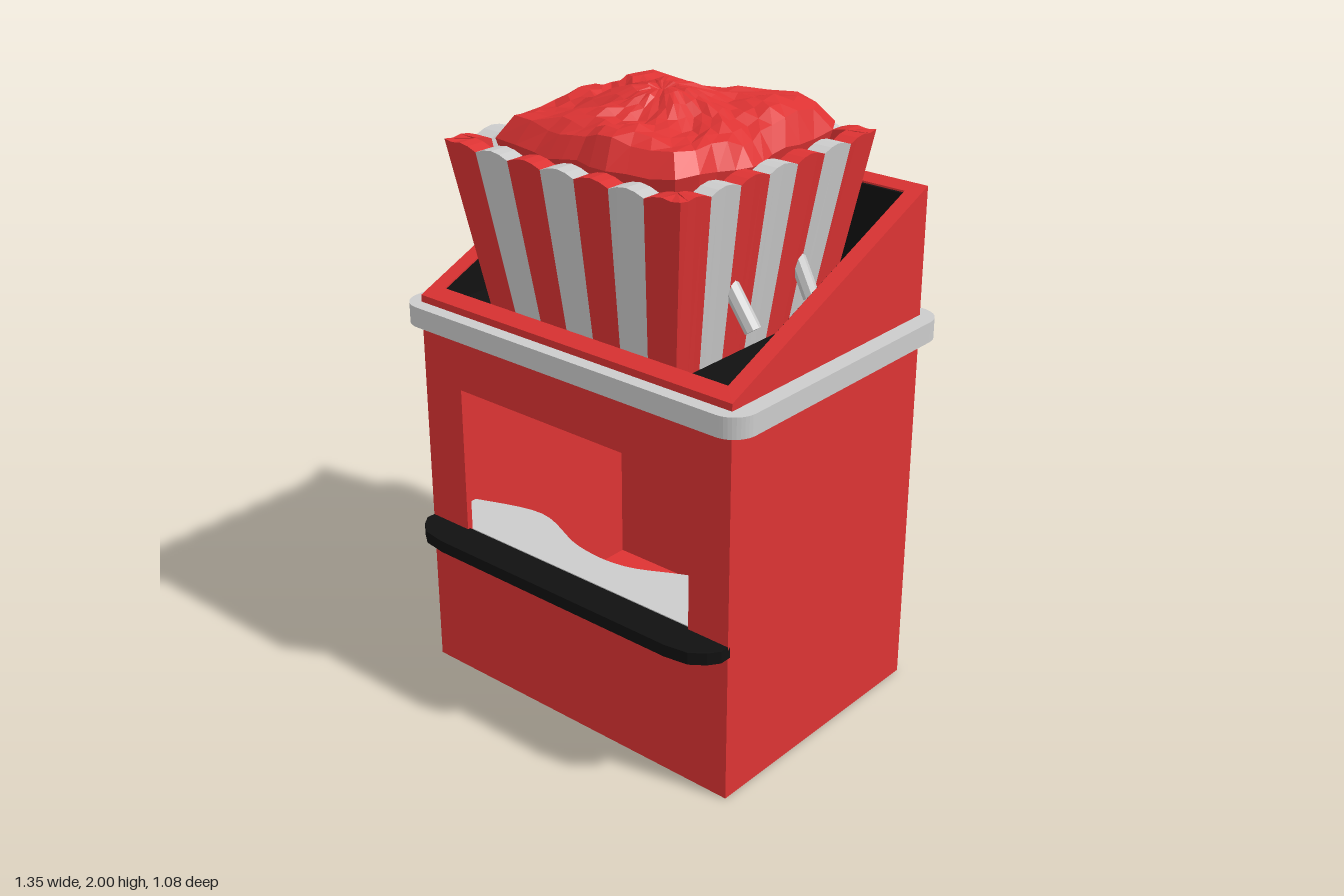
import * as THREE from 'three';

const mat = (color) => new THREE.MeshStandardMaterial({ color, flatShading: true, side: THREE.DoubleSide });
const RED = mat(0xdd3333), BLACK = mat(0x111111), GREY = mat(0xcccccc);

function add(parent, name, geometry, material) {
  const mesh = new THREE.Mesh(geometry, material);
  mesh.name = name;
  parent.add(mesh);
  return mesh;
}

// Box given by its lower and upper limits
function block(parent, name, material, x0, x1, y0, y1, z0, z1) {
  const g = new THREE.BoxGeometry(x1 - x0, y1 - y0, z1 - z0);
  g.translate((x0 + x1) / 2, (y0 + y1) / 2, (z0 + z1) / 2);
  return add(parent, name, g, material);
}

function rect(x0, x1, y0, y1, r = 0) {
  const s = new THREE.Shape();
  if (!r) {
    s.moveTo(x0, y0).lineTo(x1, y0).lineTo(x1, y1).lineTo(x0, y1).closePath();
  } else {
    s.absarc(x1 - r, y0 + r, r, -Math.PI / 2, 0);
    s.absarc(x1 - r, y1 - r, r, 0, Math.PI / 2);
    s.absarc(x0 + r, y1 - r, r, Math.PI / 2, Math.PI);
    s.absarc(x0 + r, y0 + r, r, Math.PI, Math.PI * 1.5);
    s.closePath();
  }
  return s;
}

const extrude = (shape, depth, holes = []) => {
  shape.holes.push(...holes);
  return new THREE.ExtrudeGeometry(shape, { depth, bevelEnabled: false, curveSegments: 5 });
};

// Plan shape (x, -z) raised from y0 to y1
const slab = (shape, y0, y1, holes) =>
  extrude(shape, y1 - y0, holes).rotateX(-Math.PI / 2).translate(0, y0, 0);

// Frame whose top follows the slanted roof line
function slantedFrame(outer, inner, drop) {
  const g = slab(outer, 1.25, 1.5, [inner]);
  const p = g.attributes.position;
  for (let i = 0; i < p.count; i++) {
    if (p.getY(i) > 1.4) p.setY(i, 1.31 + (0.43 - p.getZ(i)) * 0.424 - drop);
  }
  g.computeVertexNormals();
  return g;
}

function fromTriangles(list) {
  const g = new THREE.BufferGeometry();
  g.setAttribute('position', new THREE.Float32BufferAttribute(list.flat(), 3));
  g.computeVertexNormals();
  return g;
}
const quad = (list, a, b, c, d) => list.push(a, b, c, a, c, d);

function makeBooth() {
  const booth = new THREE.Group();
  booth.name = 'booth';
  // Hollow walls with a serving window
  const front = extrude(rect(-0.62, 0.62, 0, 1.25), 0.02, [rect(-0.46, 0.47, 0.52, 1.03)]);
  add(booth, 'frontWall', front.translate(0, 0, 0.41), RED);
  block(booth, 'backWall', RED, -0.62, 0.62, 0, 1.25, -0.49, -0.47);
  for (const s of [-1, 1]) {
    block(booth, 'sideWall', RED, Math.min(s * 0.6, s * 0.62), Math.max(s * 0.6, s * 0.62), 0, 1.25, -0.47, 0.41);
  }
  block(booth, 'floor', RED, -0.6, 0.6, 0, 0.02, -0.47, 0.41);
  block(booth, 'ceiling', RED, -0.6, 0.6, 1.22, 1.25, -0.47, 0.41);

  // Slanted parapet with a dark lining
  add(booth, 'parapet', slantedFrame(rect(-0.62, 0.62, -0.43, 0.49), rect(-0.565, 0.565, -0.38, 0.45), 0), RED);
  add(booth, 'parapetLining', slantedFrame(rect(-0.57, 0.57, -0.385, 0.455), rect(-0.56, 0.56, -0.375, 0.445), 0.006), BLACK);
  block(booth, 'roofDeck', BLACK, -0.565, 0.565, 1.25, 1.28, -0.45, 0.38);

  // Rounded band around the top
  add(booth, 'trimBand', slab(rect(-0.677, 0.677, -0.475, 0.542, 0.08), 1.22, 1.287, [rect(-0.61, 0.61, -0.42, 0.48)]), GREY);

  // Outer ledge, rounded at the front corners
  const ledge = new THREE.Shape([
    [-0.62, -0.42], [-0.62, -0.46], [-0.595, -0.495], [-0.55, -0.528], [-0.47, -0.54],
    [0.47, -0.54], [0.55, -0.528], [0.595, -0.495], [0.62, -0.46], [0.62, -0.42],
  ].map(([x, y]) => new THREE.Vector2(x, y)));
  add(booth, 'servingLedge', slab(ledge, 0.495, 0.535), BLACK);

  // Inner counter with a wavy back edge
  const counter = new THREE.Shape();
  counter.moveTo(-0.6, -0.41).lineTo(0.6, -0.41).lineTo(0.6, -0.1);
  counter.splineThru([[0.3, -0.17], [0.08, -0.27], [-0.12, -0.27], [-0.36, -0.19], [-0.6, -0.26]]
    .map(([x, y]) => new THREE.Vector2(x, y)));
  counter.closePath();
  add(booth, 'innerCounter', slab(counter, 0.5, 0.53), GREY);
  return booth;
}

function makeDoor() {
  const door = new THREE.Group();
  door.name = 'door';
  block(door, 'doorPanel', BLACK, -0.01, 0.51, 0.015, 1.075, -0.4915, -0.466);
  // Raised frame on both faces leaves four sunken panels
  for (const z of [-0.497, -0.468]) {
    const holes = [];
    for (const x of [0.03, 0.29]) {
      holes.push(rect(x, x + 0.18, 0.09, 0.48), rect(x, x + 0.18, 0.58, 1.01));
    }
    add(door, 'doorFrame', extrude(rect(-0.015, 0.515, 0.01, 1.08), 0.008, holes).translate(0, 0, z), BLACK);
  }
  const profile = [[0, 0], [0.022, 0], [0.022, 0.006], [0.01, 0.01], [0.01, 0.02], [0.024, 0.028], [0.024, 0.038], [0.012, 0.046], [0, 0.046]];
  const knob = new THREE.LatheGeometry(profile.map(([x, y]) => new THREE.Vector2(x, y)), 10);
  add(door, 'doorKnob', knob.rotateX(-Math.PI / 2), GREY).position.set(0.1, 0.57, -0.49);
  return door;
}

function makeBucket() {
  const bucket = new THREE.Group();
  bucket.name = 'stripedBucket';
  const top = 0.452, low = 0.362, inner = 0.388, stripes = 7, steps = 4;
  const lists = [[], []];
  // Scalloped section at u across one side, from outer foot to inner wall
  const section = (k) => {
    const u = (2 * k) / (stripes * steps) - 1;
    const y = Math.abs(u) > 0.999 ? 1.85 : 1.834 + 0.016 * Math.abs(Math.sin((Math.PI * k) / steps));
    const x = THREE.MathUtils.clamp(u * top, -inner, inner);
    return [[u * low, 1.27, low], [u * top, y, top], [x, y, inner], [x * 0.95, 1.7, inner * 0.95]];
  };
  for (let side = 0; side < 4; side++) {
    const c = Math.round(Math.cos(side * Math.PI / 2)), s = Math.round(Math.sin(side * Math.PI / 2));
    const turn = ([x, y, z]) => [x * c + z * s, y, z * c - x * s];
    for (let k = 0; k < stripes * steps; k++) {
      const a = section(k).map(turn), b = section(k + 1).map(turn);
      const list = lists[Math.floor(k / steps) % 2];
      for (let j = 0; j < 3; j++) quad(list, a[j], b[j], b[j + 1], a[j + 1]);
    }
  }
  add(bucket, 'redStripes', fromTriangles(lists[0]), RED);
  add(bucket, 'greyStripes', fromTriangles(lists[1]), GREY);
  block(bucket, 'bucketFill', RED, -0.37, 0.37, 1.7, 1.72, -0.37, 0.37);

  // Slanted pegs on both sides
  for (const [x, z] of [[0.49, 0.15], [0.46, -0.17], [-0.495, 0.1], [-0.465, -0.22]]) {
    const s = Math.sign(x);
    const a = new THREE.Vector3(s * 0.365, 1.54, z), b = new THREE.Vector3(x - s * 0.02, 1.395, z);
    const g = new THREE.CylinderGeometry(0.026, 0.026, a.distanceTo(b), 8);
    const peg = add(bucket, 'peg', g, GREY);
    peg.position.copy(a).lerp(b, 0.5);
    peg.quaternion.setFromUnitVectors(new THREE.Vector3(0, 1, 0), a.clone().sub(b).normalize());
  }
  return bucket;
}

// Lumpy squarish heap built from rings
function makeHeap() {
  const rings = 9, seg = 40, list = [];
  const point = (i, k) => {
    const a = ((k % seg) / seg) * Math.PI * 2, t = Math.min(i / rings, 1);
    const c = Math.cos(a), s = Math.sin(a);
    const n = 2 + 6 * t;
    const square = 1 / Math.pow(Math.abs(c) ** n + Math.abs(s) ** n, 1 / n);
    const corner = 0.06 * Math.exp(-(((a - 5.25) / 0.3) ** 2));
    const r = (0.37 + corner + 0.012 * Math.sin(5 * a + 1) + 0.008 * Math.sin(11 * a)) * t * square;
    const lump = Math.sin(3 * a + 5 * t) * 0.012 + Math.sin(7 * a - 9 * t) * 0.01 + Math.sin(13 * a + i * 2) * 0.006;
    let y = 1.98 - 0.085 * t * t + 0.025 * Math.sin(t * 9) * (1 - t) + lump * Math.min(1, t * 2);
    if (i === rings) y = 1.85 + lump * 0.6;
    if (i > rings) return [r * c * 0.93, 1.74, r * s * 0.93];
    return [r * c, Math.min(y, 2), r * s];
  };
  for (let i = 0; i <= rings; i++) {
    for (let k = 0; k < seg; k++) {
      if (i === 0) list.push(point(0, 0), point(1, k + 1), point(1, k));
      else quad(list, point(i, k), point(i, k + 1), point(i + 1, k + 1), point(i + 1, k));
    }
  }
  return fromTriangles(list);
}

export function createModel() {
  const model = new THREE.Group();
  model.name = 'snackBooth';
  model.add(makeBooth(), makeDoor(), makeBucket());
  add(model, 'snackHeap', makeHeap(), RED);
  return model;
}
